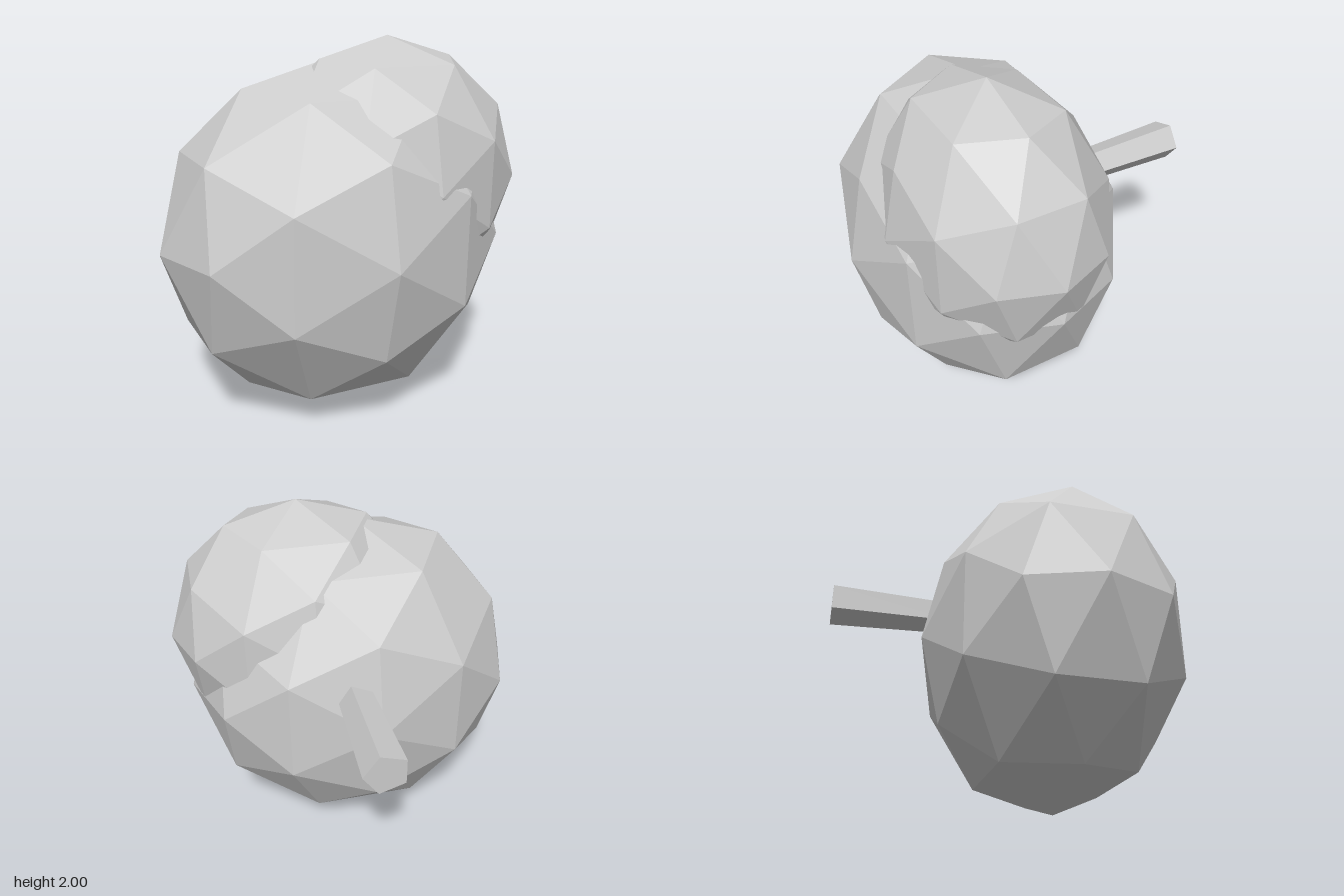
import * as THREE from 'three';

export function createModel() {
  const model = new THREE.Group();
  const grey = new THREE.MeshStandardMaterial({ color: 0xcccccc, flatShading: true });
  grey.name = 'pale grey';

  const add = (name, geometry, x, y, z) => {
    const mesh = new THREE.Mesh(geometry, grey);
    mesh.name = name;
    mesh.position.set(x, y, z);
    model.add(mesh);
  };

  // Faceted blob: an 80-sided ball stretched to its three radii
  const blob = (rx, ry, rz) => new THREE.IcosahedronGeometry(1, 1).scale(rx, ry, rz);

  add('largeBlob', blob(0.95, 0.945, 0.74), -0.04, 0.95, 0.25);
  add('smallBlob', blob(0.74, 0.74, 0.58), 0.25, 1.26, 0.3);

  // Five-sided stem pointing backwards, wider at its free end
  const zEnd = -0.99, zRoot = -0.3;
  const stem = new THREE.CylinderGeometry(0.118, 0.094, zRoot - zEnd, 5);
  stem.rotateY(Math.PI / 2).rotateX(-Math.PI / 2);
  add('stem', stem, 0.085, 1.155, (zEnd + zRoot) / 2);

  return model;
}
